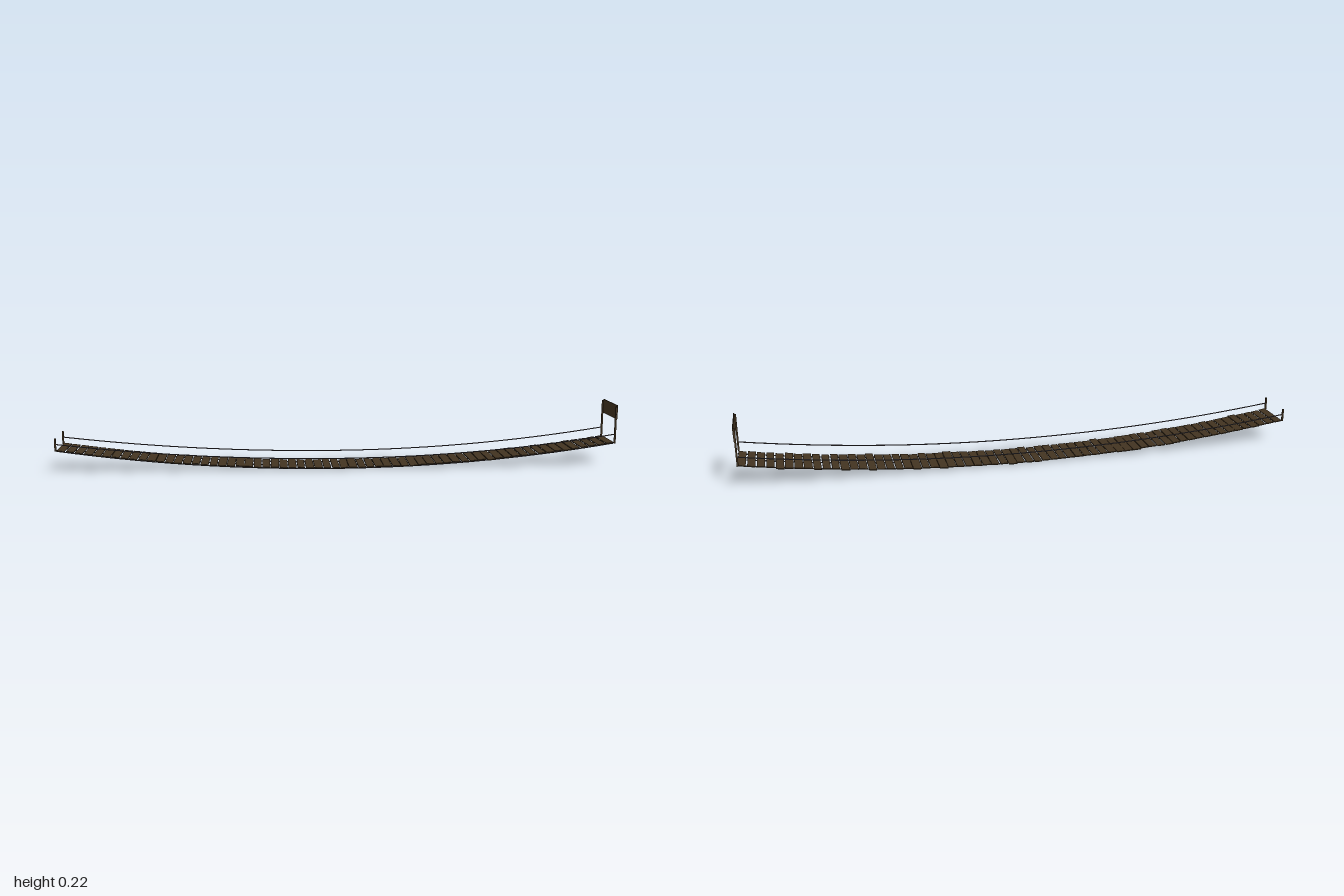
import * as THREE from 'three';

export function createModel() {
  const bridge = new THREE.Group();
  bridge.name = 'ropeBridge';
  const mat = (name, color) => {
    const m = new THREE.MeshStandardMaterial({ color });
    m.name = name;
    return m;
  };
  const wood = mat('wood', 0x433421);
  const rope = mat('rope', 0x524c52);
  const redPaint = mat('red paint', 0x9a2e26);

  // Small seeded generator for the uneven planks
  let seed = 7;
  const rand = (a, b) => {
    seed = (seed * 16807) % 2147483647;
    return a + (b - a) * (seed / 2147483647);
  };

  const add = (name, geometry, material, x = 0, y = 0, z = 0, parent = bridge) => {
    const m = new THREE.Mesh(geometry, material);
    m.name = name;
    m.position.set(x, y, z);
    parent.add(m);
    return m;
  };

  // Sagging line of the deck and of the handrails
  const deckY = (x) => 0.0062 + (x < 0 ? 0.077 : 0.079) * x * x;
  const railY = (x) => 0.042 + (x < 0 ? 0.064 : 0.076) * x * x;

  const ropeAlong = (name, yAt, zAt, radius) => {
    const points = [];
    for (let i = 0; i <= 20; i++) {
      const x = -0.996 + (1.992 * i) / 20;
      points.push(new THREE.Vector3(x, yAt(x), zAt(x)));
    }
    const curve = new THREE.CatmullRomCurve3(points);
    add(name, new THREE.TubeGeometry(curve, 30, radius, 6), rope);
  };

  // Planks, uneven in width, length, offset and tilt
  const deck = new THREE.Group();
  deck.name = 'deck';
  bridge.add(deck);
  const count = 64;
  const step = 1.992 / count;
  for (let i = 0; i < count; i++) {
    const x = -0.996 + step * (i + 0.5);
    const end = Math.abs(x) > 0.9;
    const width = step * (end ? 0.85 : rand(0.82, 0.98));
    const stray = !end && rand(0, 1) < 0.25 ? rand(0.004, 0.008) : 0;
    const back = -0.072 - stray + rand(-0.001, 0.001);
    const front = 0.067 + rand(-0.004, 0.003) + (i % 9 === 4 ? 0.008 : 0);
    const plank = add('plank', new THREE.BoxGeometry(width, 0.0034, front - back), wood,
      x, deckY(x) + rand(0, 0.001), (front + back) / 2, deck);
    plank.rotation.set(0, rand(-0.012, 0.012), Math.atan(0.156 * x) + rand(-0.015, 0.015));
  }

  // Ropes carrying the planks
  for (const z of [-0.058, 0, 0.055]) {
    ropeAlong('deckRope', (x) => deckY(x) - 0.004, () => z, 0.0022);
  }

  for (const side of [-1, 1]) {
    // Handrail, running from the short post to the tall post
    ropeAlong('handrail', railY, (x) => side * (0.0715 + 0.0025 * x), 0.002);
    // Short post at the right end
    add('shortPost', new THREE.BoxGeometry(0.006, 0.046, 0.005), wood, -0.997, 0.104, side * 0.07);
    // Tall post at the left end
    add('tallPost', new THREE.BoxGeometry(0.006, 0.134, 0.005), wood, 0.993, 0.151, side * 0.0745);
  }

  // Board across the tall posts, leaning very slightly outwards
  const board = add('signBoard', new THREE.BoxGeometry(0.003, 0.05, 0.155), wood, 0.9965, 0.1975, 0);
  board.rotation.z = -0.02;

  // Row of paint spots low on the board
  for (let i = 0; i < 6; i++) {
    add('paintSpot', new THREE.BoxGeometry(0.002, 0.003, 0.003), redPaint,
      0.002, -0.013, 0.056 - i * 0.0085, board);
  }

  return bridge;
}
